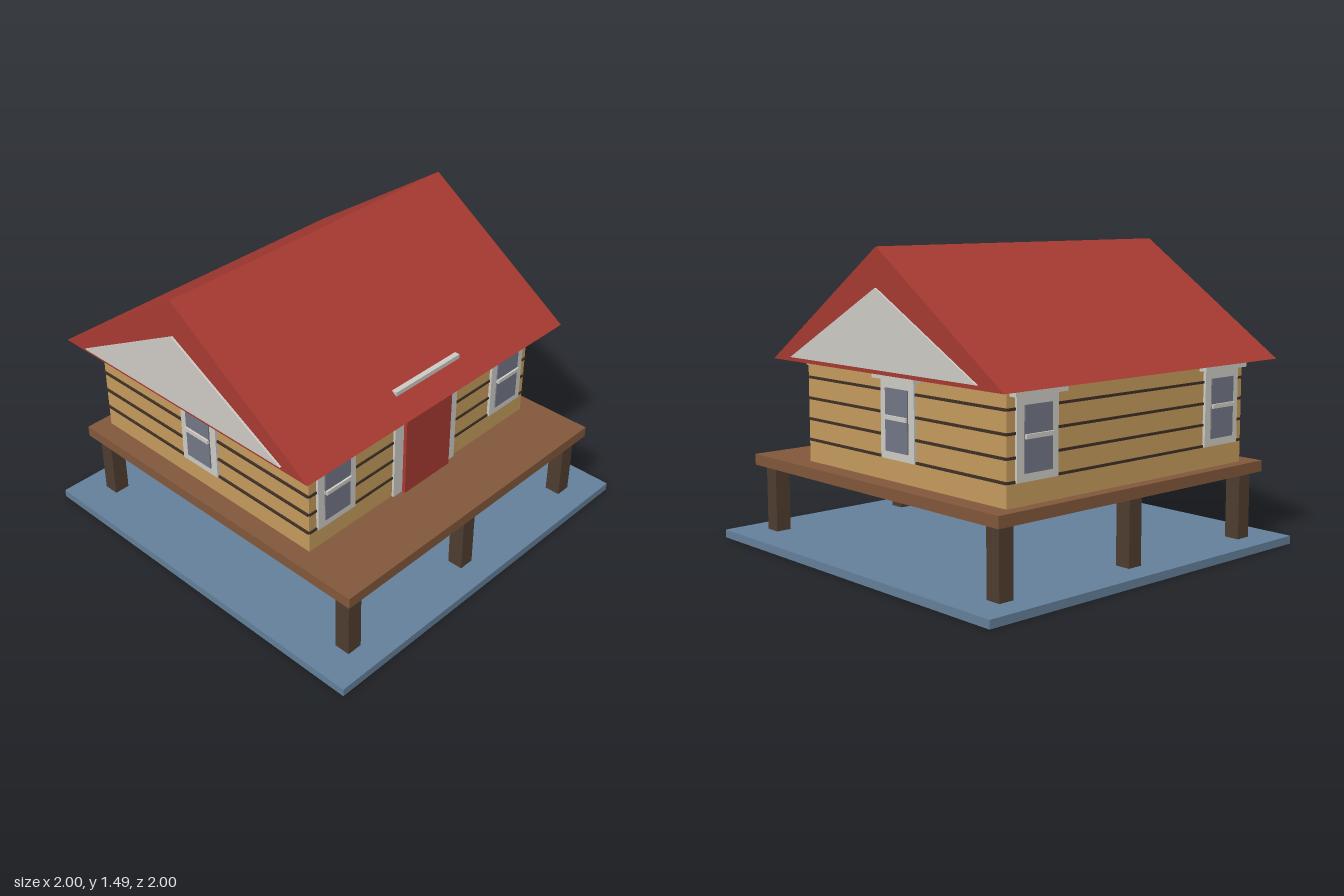
import * as THREE from 'three';

const mat = (name, color) => Object.assign(new THREE.MeshStandardMaterial({ color }), { name });

export function createModel() {
  const model = new THREE.Group();
  model.name = 'stiltCabin';
  const water = mat('waterBlue', 0x64809a);
  const timber = mat('deckBrown', 0x83583b);
  const post = mat('postBrown', 0x4f3d30);
  const log = mat('logTan', 0xc59c5d);
  const seam = mat('seamBrown', 0x3f3026);
  const red = mat('roofRed', 0xa83a32);
  const trim = mat('trimGrey', 0xcfccc5);
  const glass = mat('glassGrey', 0x737786);

  // Box given by its min and max on each axis
  function box(name, material, [x0, x1], [y0, y1], [z0, z1], parent = model) {
    const mesh = new THREE.Mesh(new THREE.BoxGeometry(x1 - x0, y1 - y0, z1 - z0), material);
    mesh.position.set((x0 + x1) / 2, (y0 + y1) / 2, (z0 + z1) / 2);
    mesh.name = name;
    parent.add(mesh);
    return mesh;
  }

  // Triangular prism along x, centred on x = 0, with its ridge over z = -0.14
  const midZ = -0.14;
  function prism(name, material, halfDepth, y0, y1, halfWidth) {
    const shape = new THREE.Shape([
      new THREE.Vector2(-halfDepth, y0),
      new THREE.Vector2(halfDepth, y0),
      new THREE.Vector2(0, y1),
    ]);
    const geo = new THREE.ExtrudeGeometry(shape, { depth: halfWidth * 2, bevelEnabled: false });
    geo.translate(0, 0, -halfWidth).rotateY(Math.PI / 2).translate(0, 0, midZ);
    const mesh = new THREE.Mesh(geo, material);
    mesh.name = name;
    model.add(mesh);
  }

  // Ground slab, posts and deck
  box('waterSlab', water, [-1, 1], [0, 0.04], [-1, 1]);
  for (const x of [-0.79, 0, 0.79]) {
    for (const z of [-0.83, 0.83]) {
      box('post', post, [x - 0.04, x + 0.04], [0.04, 0.37], [z - 0.04, z + 0.04]);
    }
  }
  box('deck', timber, [-0.87, 0.87], [0.37, 0.425], [-0.91, 0.91]);

  // Log walls with dark seams all round
  const wx = 0.77, wd = 0.71;
  box('walls', log, [-wx, wx], [0.425, 0.935], [midZ - wd, midZ + wd]);
  for (const y of [0.535, 0.637, 0.739, 0.841]) {
    for (const s of [-1, 1]) {
      const z = midZ + s * wd, x = s * wx;
      box('logSeam', seam, [-wx, wx], [y - 0.006, y + 0.006], [z - 0.006, z + 0.006]);
      box('logSeam', seam, [x - 0.008, x + 0.008], [y - 0.006, y + 0.006], [midZ - wd, midZ + wd]);
    }
  }

  // Roof and gable panels
  prism('roof', red, 0.825, 0.93, 1.49, 0.89);
  prism('gablePanels', trim, 0.67, 0.95, 1.31, 0.9);

  // Door and its frame, whose top edge shows above the eave
  box('doorFrame', trim, [-0.22, 0.22], [0.425, 1.022], [0.555, 0.582]);
  box('door', red, [-0.16, 0.16], [0.425, 0.91], [0.57, 0.6]);

  // Window built facing +z with the wall at z = 0, then turned into place
  function addWindow(x, z, turn) {
    const win = new THREE.Group();
    win.name = 'window';
    box('windowFrame', trim, [-0.12, 0.12], [0.53, 0.9], [-0.01, 0.014], win);
    box('windowPane', glass, [-0.08, 0.08], [0.567, 0.855], [0.01, 0.02], win);
    box('windowBar', trim, [-0.08, 0.08], [0.713, 0.733], [0.01, 0.03], win);
    box('windowHeader', trim, [-0.15, 0.15], [0.895, 0.929], [-0.01, 0.04], win);
    win.position.set(x, 0, z);
    win.rotation.y = turn;
    model.add(win);
  }
  for (const s of [-1, 1]) {
    addWindow(s * 0.605, midZ + wd, 0);
    addWindow(s * 0.605, midZ - wd, Math.PI);
    addWindow(s * wx, midZ, s * Math.PI / 2);
  }

  return model;
}
